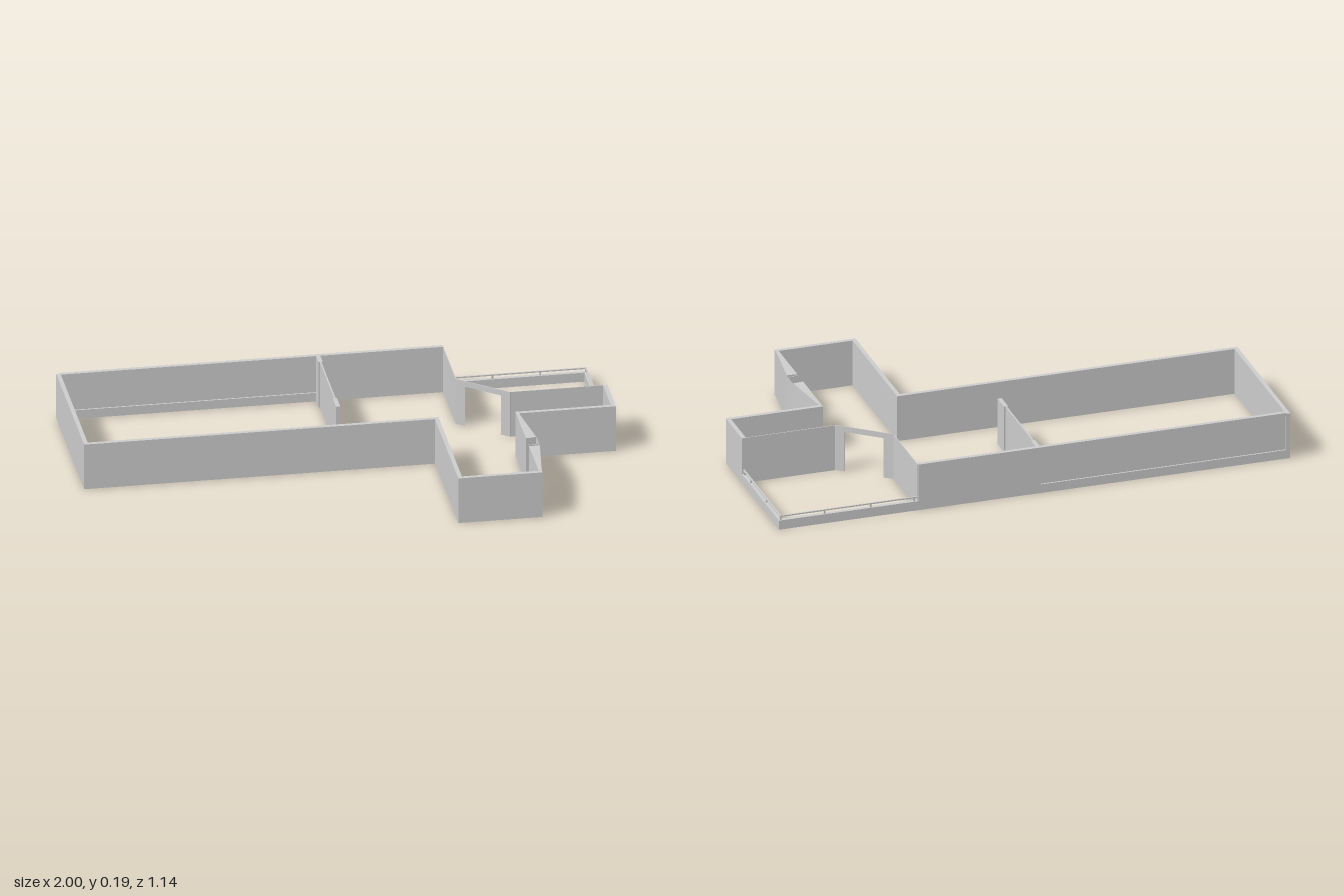
import * as THREE from 'three';

const material = new THREE.MeshStandardMaterial({ color: 0xcccccc, side: THREE.DoubleSide });
const H = 0.183; // wall height
const T = 0.016; // wall thickness

export function createModel() {
  const model = new THREE.Group();
  model.name = 'floorPlanWalls';

  const add = (name, geometry) => {
    const mesh = new THREE.Mesh(geometry, material);
    mesh.name = name;
    model.add(mesh);
    return mesh;
  };
  // Box given by its extents in plan and height
  const box = (name, x0, x1, z0, z1, y0 = 0, y1 = H) => {
    const g = new THREE.BoxGeometry(x1 - x0, y1 - y0, z1 - z0);
    g.translate((x0 + x1) / 2, (y0 + y1) / 2, (z0 + z1) / 2);
    return add(name, g);
  };

  // Main rooms
  box('leftWall', -1, -1 + T, -0.57, 0.05);
  box('frontWall', -1, 0.336, 0.05 - T, 0.05);
  box('wingLeftWall', 0.32, 0.336, 0.05, 0.57);
  box('wingFrontWall', 0.336, 0.637, 0.57 - T, 0.57);
  box('rightFrontWall', 0.625, 1, 0.053 - T, 0.053);
  box('rightWall', 1 - T, 1, -0.135, 0.053 - T);

  // Back wall with one long recessed window
  const B = 0.186, zb = -0.57, zf = zb + T;
  box('backWallSolid', -0.025, 0.455, zb, zf, 0, B);
  box('windowSill', -1 + T, -0.025, zb, zf, 0, 0.035);
  box('windowLintel', -1 + T, -0.025, zb, zf, 0.172, B);
  box('windowPane', -1 + T, -0.025, zb + 0.006, zf - 0.006, 0.035, 0.172);

  // Partition: thin panel between two thicker posts
  box('partitionBackPost', -0.025, -0.009, zf, -0.5, 0, B);
  box('partitionPanel', -0.02, -0.014, -0.5, -0.185, 0, B);
  box('partitionFrontPost', -0.025, -0.009, -0.185, -0.11, 0, B);

  // Bowed entrance wall: two wedges joined by a thin curved skin
  const bow = new THREE.CatmullRomCurve3(
    [[0.636, 0.05], [0.651, 0.16], [0.665, 0.265], [0.667, 0.305], [0.665, 0.345], [0.651, 0.45], [0.635, 0.57]]
      .map(([x, z]) => new THREE.Vector3(x, 0, z)));
  const pts = bow.getPoints(48);
  const skin = new THREE.PlaneGeometry(1, 1, 48, 1);
  const pos = skin.attributes.position;
  for (let i = 0; i <= 48; i++) {
    const p = pts[48 - i]; // runs from front to back so the face looks outward
    pos.setXYZ(i, p.x, H, p.z);
    pos.setXYZ(i + 49, p.x, 0, p.z);
  }
  skin.computeVertexNormals();
  add('bowedWallSkin', skin);
  const wedge = (name, z0, z1) => {
    const edge = pts.filter((p) => p.z >= z0 && p.z <= z1).map((p) => new THREE.Vector2(p.x - 0.0008, -p.z));
    const shape = new THREE.Shape([new THREE.Vector2(0.625, -z0), ...edge, new THREE.Vector2(0.625, -z1)]);
    const g = new THREE.ExtrudeGeometry(shape, { depth: H, bevelEnabled: false });
    add(name, g.rotateX(-Math.PI / 2));
  };
  wedge('bowedWallBack', 0.05, 0.27);
  wedge('bowedWallFront', 0.338, 0.57);
  box('entranceFlap', 0.625, 0.66, 0.324, 0.327);

  // Thin walls facing the terrace
  box('terraceSideWall', 0.453, 0.456, -0.56, -0.28);
  box('terraceFrontWall', 0.635, 1, -0.136, -0.133);

  // Diagonal wall with a doorway open to the floor
  const dx = 0.18, dz = 0.145, L = Math.hypot(dx, dz);
  const outline = [[0, 0], [0.17, 0], [0.17, 0.88], [0.84, 0.88], [0.84, 0], [1, 0], [1, 1], [0, 1]];
  const frame = new THREE.Shape(outline.map(([u, v]) => new THREE.Vector2(u * L, v * H)));
  const frameMesh = add('diagonalDoorway', new THREE.ExtrudeGeometry(frame, { depth: 0.003, bevelEnabled: false }));
  frameMesh.position.set(0.455, 0, -0.28);
  frameMesh.rotation.y = -Math.atan2(dz, dx);

  // Terrace kerb and low railing
  const K = 0.037;
  box('backKerb', 0.455, 1, -0.57, -0.555, 0, K);
  box('sideKerb', 0.985, 1, -0.555, -0.136, 0, K);
  box('backRail', 0.456, 0.995, -0.566, -0.56, 0.049, 0.054);
  box('sideRail', 0.989, 0.995, -0.56, -0.136, 0.049, 0.054);
  for (const x of [0.47, 0.64, 0.82, 0.992]) box('backRailPost', x - 0.003, x + 0.003, -0.566, -0.56, K, 0.05);
  for (const z of [-0.4, -0.22, -0.145]) box('sideRailPost', 0.989, 0.995, z - 0.003, z + 0.003, K, 0.05);

  return model;
}
